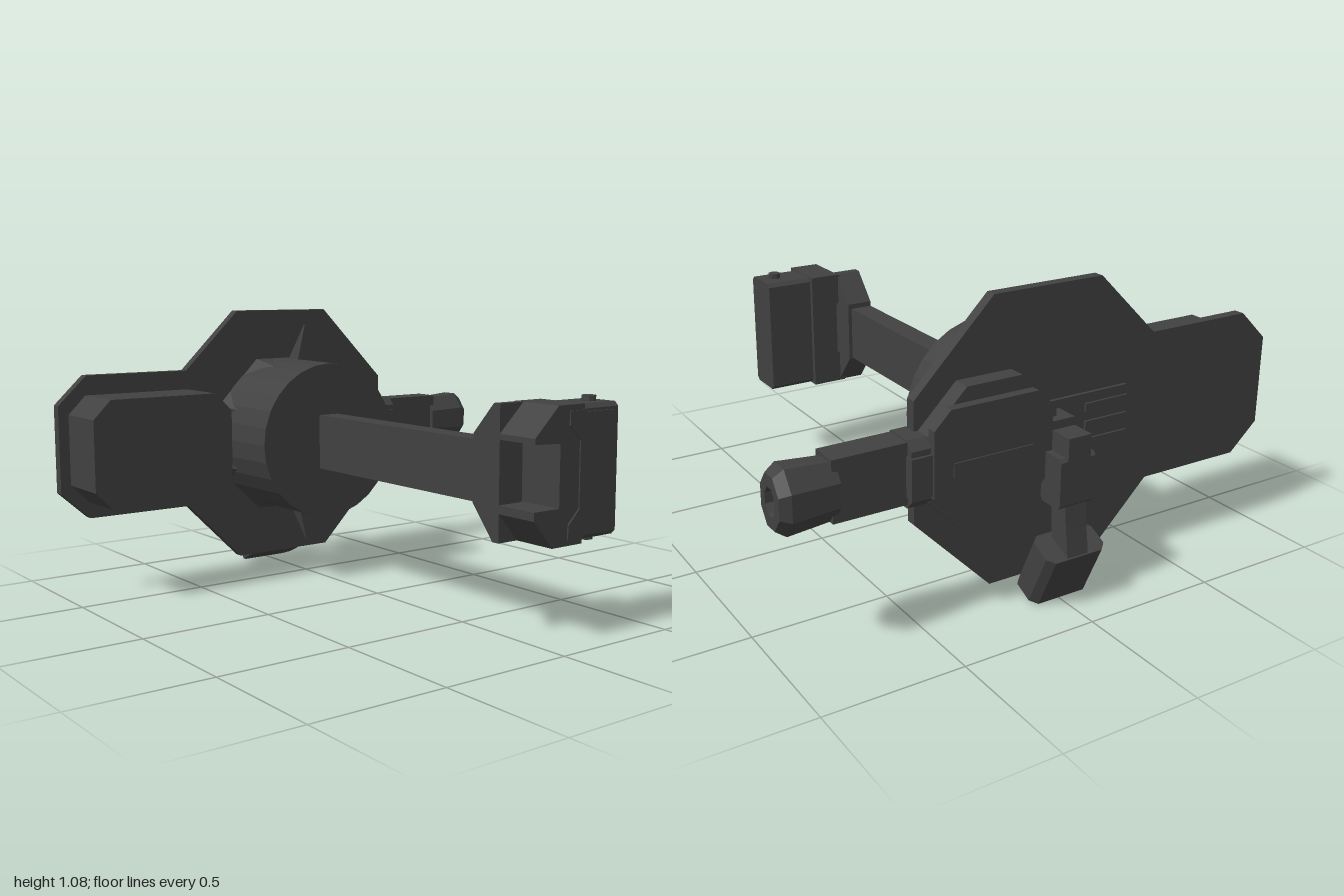
import * as THREE from 'three';

const MID = 0.575; // height of the main axis

export function createModel() {
  const model = new THREE.Group();
  const darkMetal = new THREE.MeshStandardMaterial({ color: 0x414141, flatShading: true });
  darkMetal.name = 'darkMetal';

  const add = (name, geometry) => {
    const mesh = new THREE.Mesh(geometry, darkMetal);
    mesh.name = name;
    model.add(mesh);
    return mesh;
  };
  // box from its limits
  const box = (name, x0, x1, y0, y1, z0, z1) =>
    add(name, new THREE.BoxGeometry(x1 - x0, y1 - y0, z1 - z0)
      .translate((x0 + x1) / 2, (y0 + y1) / 2, (z0 + z1) / 2));
  const shapeOf = pts => new THREE.Shape(pts.map(p => new THREE.Vector2(...p)));
  // outline in x,y pushed along z
  const prismZ = (name, pts, z0, z1) =>
    add(name, new THREE.ExtrudeGeometry(shapeOf(pts), { depth: z1 - z0, bevelEnabled: false }).translate(0, 0, z0));
  // outline in z,y pushed along x
  const prismX = (name, pts, x0, x1) =>
    add(name, new THREE.ExtrudeGeometry(shapeOf(pts.map(([z, y]) => [-z, y])), { depth: x1 - x0, bevelEnabled: false })
      .rotateY(Math.PI / 2).translate(x0, 0, 0));
  // rectangle with cut corners
  const cut = (a0, a1, b0, b1, c) => [
    [a0 + c, b0], [a1 - c, b0], [a1, b0 + c], [a1, b1 - c],
    [a1 - c, b1], [a0 + c, b1], [a0, b1 - c], [a0, b0 + c]];

  // Shield plate with side wing
  prismZ('shieldPlate', [
    [-0.22, 0.065], [0.21, 0.065], [0.505, 0.365], [0.505, 0.79], [0.21, 1.09], [-0.22, 1.09],
    [-0.46, 0.855], [-0.885, 0.855], [-1, 0.745], [-1, 0.41], [-0.885, 0.305], [-0.46, 0.305]], -0.7, -0.66);

  // Side pod and its struts
  prismZ('sidePod', cut(-0.96, -0.385, 0.37, 0.78, 0.07), -0.66, -0.435);
  for (const y of [0.515, 0.575, 0.635])
    box('podStrut', -0.4, -0.29, y - 0.015, y + 0.015, -0.66, -0.6);

  // Drum, with a faceted collar at its root
  add('drum', new THREE.CylinderGeometry(0.31, 0.315, 0.35, 28)
    .rotateX(Math.PI / 2).translate(-0.005, MID, -0.485));
  add('drumCollar', new THREE.CylinderGeometry(0.315, 0.34, 0.12, 8)
    .rotateY(Math.PI / 8).rotateX(Math.PI / 2).translate(0, MID, -0.6));

  // Spikes above and below the drum
  for (const s of [1, -1]) {
    const spike = new THREE.CylinderGeometry(0.5, 0.5, 0.15, 4).rotateY(Math.PI / 4);
    const p = spike.attributes.position;
    for (let i = 0; i < p.count; i++) {
      const top = p.getY(i) > 0;
      const x = Math.sign(p.getX(i)) * (top ? 0.027 : 0.065);
      const z = p.getZ(i) > 0 ? -0.565 : top ? -0.572 : -0.64;
      p.setXYZ(i, 0.075 * 1 + x * s, MID + s * (top ? 0.455 : 0.3), z);
    }
    add('spike', spike);
  }

  // Long arm
  box('arm', -0.055, 0.035, 0.465, 0.68, -0.32, 0.64);

  // End bracket: tapered root, notched jaw and block
  prismX('bracketRoot', [[0.61, 0.46], [0.71, 0.34], [0.74, 0.34], [0.74, 0.81], [0.71, 0.81], [0.61, 0.7]], -0.055, 0.05);
  prismZ('bracketJaw', [
    [-0.055, 0.44], [0.03, 0.34], [0.17, 0.34], [0.17, 0.81], [0.05, 0.81], [-0.055, 0.71],
    [-0.055, 0.69], [0.06, 0.685], [0.06, 0.47], [-0.055, 0.47]], 0.7, 0.905);
  prismZ('bracketRib', [
    [0.1, 0.36], [0.17, 0.36], [0.17, 0.79], [0.1, 0.79],
    [0.1, 0.74], [0.15, 0.69], [0.15, 0.46], [0.1, 0.41]], 0.9, 0.91);
  prismX('endBlock', cut(0.72, 0.885, 0.345, 0.805, 0.015), 0.165, 0.355);
  box('endPanel', 0.185, 0.335, 0.37, 0.78, 0.88, 0.892);
  for (const y of [0.34, 0.81])
    add('endKnob', new THREE.CylinderGeometry(0.025, 0.025, 0.03, 8).translate(0.29, y, 0.81));

  // Barrel with collar, clamps and hollow muzzle
  prismX('barrelCollar', cut(-0.78, -0.62, 0.46, 0.69, 0.03), 0.35, 0.56);
  box('collarClamp', 0.48, 0.565, 0.5, 0.64, -0.79, -0.61);
  box('drumClamp', 0.27, 0.33, 0.5, 0.64, -0.66, -0.525);
  box('clampBridge', 0.3, 0.5, 0.52, 0.62, -0.66, -0.61);
  box('barrel', 0.55, 0.82, 0.475, 0.685, -0.755, -0.65);
  const muzzle = [[0, 0.8], [0.95, 0.8], [1.08, 0.965], [0.85, 1], [0.45, 1], [0.4, 0.96], [0, 0.96]];
  add('muzzle', new THREE.LatheGeometry(muzzle.map(p => new THREE.Vector2(...p)), 8)
    .rotateY(Math.PI / 8).rotateZ(-Math.PI / 2).scale(1, 0.11, 0.083).translate(0, MID, -0.705));

  // Rear housing
  prismZ('rearHousing', cut(0, 0.49, 0.325, 0.83, 0.14), -0.765, -0.7);
  prismZ('housingCover', cut(0.04, 0.49, 0.43, 0.78, 0.06), -0.8, -0.765);
  box('housingRail', 0.12, 0.42, 0.55, 0.6, -0.805, -0.79);

  // Vent panel with raised fins
  prismZ('ventPanel', cut(-0.38, 0.05, 0.46, 0.69, 0.04), -0.712, -0.7);
  for (const y of [0.51, 0.575, 0.64])
    box('ventFin', -0.34, -0.16, y - 0.015, y + 0.015, -0.72, -0.71);

  // Rear grip: mount, block, neck and tilted foot
  box('gripMount', -0.05, 0.05, 0.5, 0.66, -0.8, -0.7);
  prismX('gripBlock', cut(-0.885, -0.78, 0.38, 0.56, 0.012), -0.075, 0.065);
  box('gripCap', -0.05, 0.04, 0.55, 0.63, -0.89, -0.79);
  prismX('gripNeck', [[-0.8, 0.39], [-0.81, 0.22], [-0.9, 0.2], [-0.885, 0.3], [-0.875, 0.39]], -0.05, 0.035);
  // cross-section tilted to follow the foot's axis
  add('gripFoot', new THREE.ExtrudeGeometry(shapeOf(cut(-0.12, 0.12, -0.0625, 0.0625, 0.025)), { depth: 0.215, bevelEnabled: false })
    .rotateX(-Math.PI / 2 + 0).rotateX(-0.43).translate(-0.01, 0.032, -0.758));
  return model;
}
